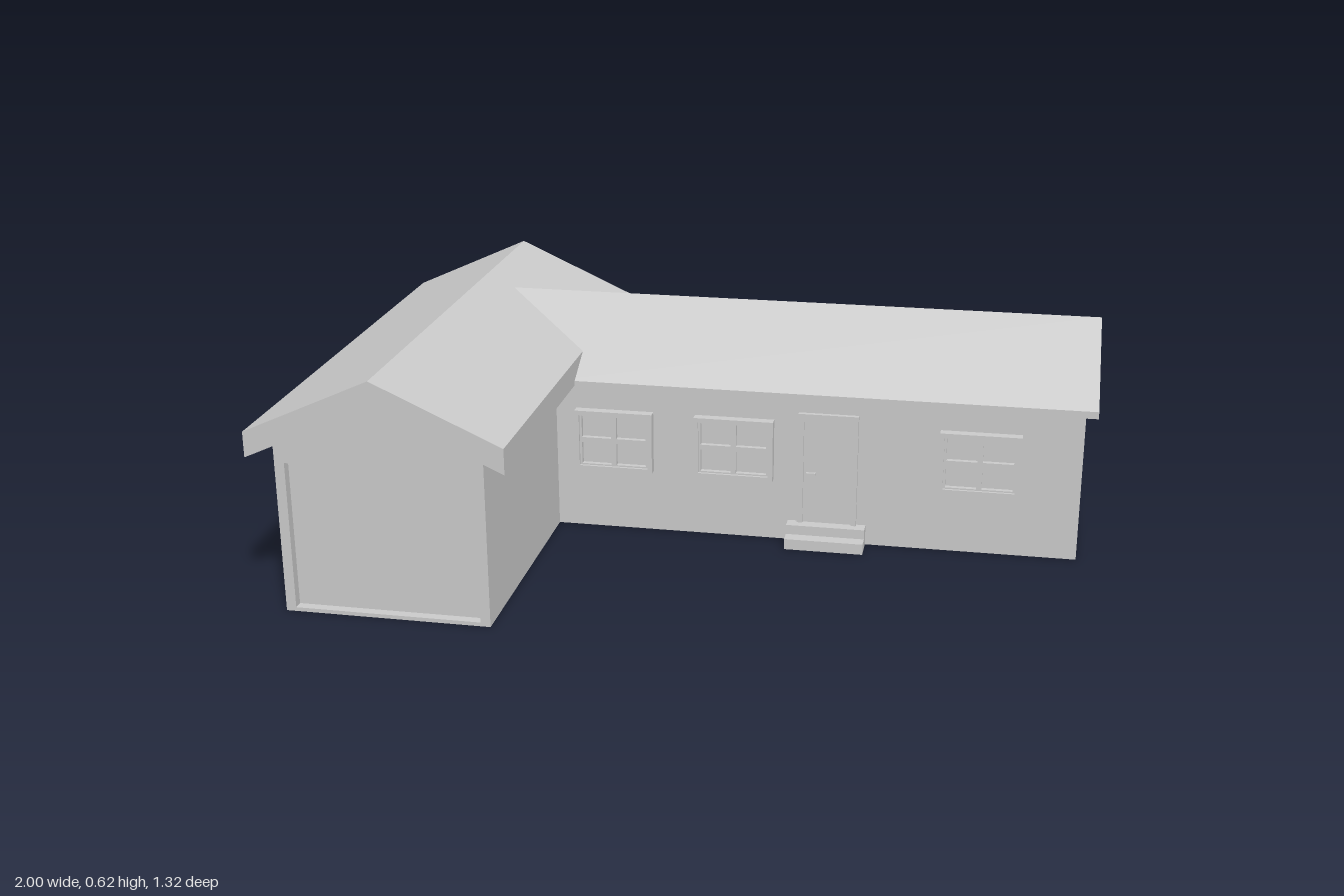
import * as THREE from 'three';

const material = new THREE.MeshStandardMaterial({ color: 0xcccccc, flatShading: true, side: THREE.DoubleSide });

function add(parent, name, geometry) {
  const mesh = new THREE.Mesh(geometry, material);
  mesh.name = name;
  parent.add(mesh);
  return mesh;
}

// Box given by its lower and upper limits on each axis
function box(parent, name, x0, x1, y0, y1, z0, z1) {
  const mesh = add(parent, name, new THREE.BoxGeometry(x1 - x0, y1 - y0, z1 - z0));
  mesh.position.set((x0 + x1) / 2, (y0 + y1) / 2, (z0 + z1) / 2);
  return mesh;
}

const shapeOf = (points) => new THREE.Shape(points.map(([x, y]) => new THREE.Vector2(x, y)));

const rectangle = (x0, x1, y0, y1) => shapeOf([[x0, y0], [x1, y0], [x1, y1], [x0, y1]]);

const extrude = (shape, depth) => new THREE.ExtrudeGeometry(shape, { depth, bevelEnabled: false });

// Five-sided gable wall outline
const gable = (x0, x1, eave, ridge) =>
  shapeOf([[x0, 0], [x1, 0], [x1, eave], [(x0 + x1) / 2, ridge], [x0, eave]]);

// Bent roof slab outline with upright eave ends
const chevron = (x0, x1, low, high, underRidge, ridge) => {
  const mid = (x0 + x1) / 2;
  return shapeOf([[x0, low], [mid, underRidge], [x1, low], [x1, high], [mid, ridge], [x0, high]]);
};

function buildGarage() {
  const garage = new THREE.Group();
  garage.name = 'garage';

  // Walls, open underneath, with a recessed door in the front gable
  const front = gable(-0.94, -0.42, 0.44, 0.553);
  front.holes.push(rectangle(-0.915, -0.445, 0.01, 0.39));
  add(garage, 'garageFrontWall', extrude(front, 0.025)).position.z = 0.605;
  add(garage, 'garageDoor', new THREE.ShapeGeometry(rectangle(-0.915, -0.445, 0.01, 0.39))).position.z = 0.606;
  const back = add(garage, 'garageBackWall', new THREE.ShapeGeometry(gable(0.42, 0.94, 0.44, 0.553)));
  back.rotation.y = Math.PI;
  back.position.z = -0.64;
  for (const [x, turn] of [[-0.94, -1], [-0.42, 1]]) {
    const side = add(garage, 'garageSideWall', new THREE.PlaneGeometry(1.27, 0.44));
    side.rotation.y = turn * Math.PI / 2;
    side.position.set(x, 0.22, -0.005);
  }

  add(garage, 'garageRoof', extrude(chevron(-1, -0.36, 0.41, 0.475, 0.555, 0.62), 1.32)).position.z = -0.66;
  return garage;
}

function buildHouse() {
  const house = new THREE.Group();
  house.name = 'house';

  // Long walls and the end gable
  for (const [name, z, turn] of [['houseFrontWall', -0.025, 0], ['houseBackWall', -0.55, Math.PI]]) {
    const wall = add(house, name, new THREE.PlaneGeometry(1.39, 0.417));
    wall.rotation.y = turn;
    wall.position.set(0.275, 0.2085, z);
  }
  const end = add(house, 'houseEndWall', new THREE.ShapeGeometry(gable(0.025, 0.55, 0.417, 0.565)));
  end.rotation.y = Math.PI / 2;
  end.position.x = 0.97;

  // Roof slab; its inner end slants to run under the garage roof up to the valley tip
  const roof = extrude(chevron(-0.005, 0.577, 0.403, 0.422, 0.566, 0.585), 1);
  roof.rotateY(Math.PI / 2);
  const p = roof.attributes.position;
  for (let i = 0; i < p.count; i++) {
    const rise = 1 - Math.abs(p.getZ(i) + 0.286) / 0.291;
    p.setX(i, p.getX(i) > 0.5 ? 1 : -0.4 - 0.204 * rise);
  }
  add(house, 'houseRoof', roof);
  return house;
}

// Framed window with four panes, standing proud of the front wall
function buildWindow(x0, x1) {
  const window = new THREE.Group();
  window.name = 'window';
  const y0 = 0.17, y1 = 0.337;
  const casing = rectangle(x0, x1, y0, y1);
  casing.holes.push(rectangle(x0 + 0.012, x1 - 0.012, y0 + 0.012, y1 - 0.012));
  add(window, 'windowCasing', extrude(casing, 0.025)).position.z = -0.025;

  const sash = rectangle(x0 + 0.012, x1 - 0.012, y0 + 0.012, y1 - 0.012);
  const paneW = (x1 - x0 - 0.05) / 2, paneH = (y1 - y0 - 0.046) / 2;
  for (const x of [x0 + 0.018, x1 - 0.018 - paneW]) {
    for (const y of [y0 + 0.016, y1 - 0.016 - paneH]) {
      sash.holes.push(rectangle(x, x + paneW, y, y + paneH));
    }
  }
  add(window, 'windowSash', extrude(sash, 0.018)).position.z = -0.025;
  box(window, 'windowGlass', x0 + 0.012, x1 - 0.012, y0 + 0.012, y1 - 0.012, -0.024, -0.02);
  return window;
}

function buildEntrance() {
  const entrance = new THREE.Group();
  entrance.name = 'entrance';

  // Door frame, leaf and handle
  const frame = shapeOf([[0.235, 0.055], [0.25, 0.055], [0.25, 0.34], [0.38, 0.34],
    [0.38, 0.055], [0.393, 0.055], [0.393, 0.362], [0.235, 0.362]]);
  add(entrance, 'doorFrame', extrude(frame, 0.012)).position.z = -0.025;
  box(entrance, 'doorLeaf', 0.25, 0.38, 0.055, 0.34, -0.025, -0.021);
  box(entrance, 'doorHandle', 0.257, 0.283, 0.19, 0.197, -0.021, -0.013);

  // Two steps
  box(entrance, 'lowerStep', 0.21, 0.418, 0, 0.029, -0.025, 0.045);
  box(entrance, 'upperStep', 0.21, 0.418, 0.029, 0.055, -0.025, 0.01);
  return entrance;
}

export function createModel() {
  const model = new THREE.Group();
  model.name = 'bungalow';
  model.add(buildGarage(), buildHouse(), buildEntrance());
  for (const [x0, x1] of [[-0.365, -0.155], [-0.042, 0.17], [0.605, 0.815]]) {
    model.add(buildWindow(x0, x1));
  }
  return model;
}
